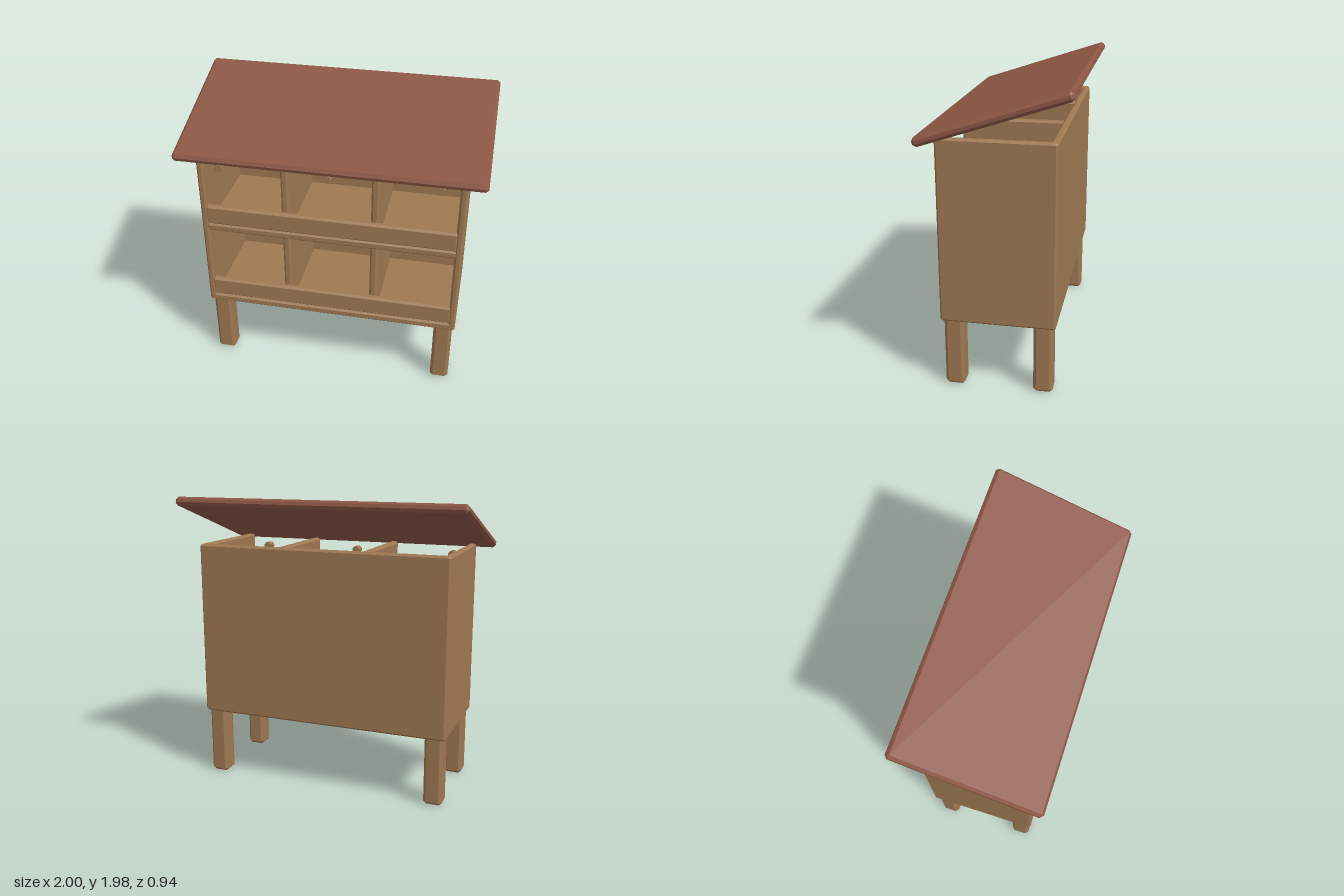
import * as THREE from 'three';
import { ConvexGeometry } from 'three/addons/geometries/ConvexGeometry.js';

const SIGNS = [-1, 1];

// Box with flat chamfers along every edge
function chamferBox(w, h, d, b) {
  const points = [];
  const x = w / 2, y = h / 2, z = d / 2;
  for (const i of SIGNS) for (const j of SIGNS) for (const k of SIGNS) {
    points.push(
      new THREE.Vector3(i * x, j * (y - b), k * (z - b)),
      new THREE.Vector3(i * (x - b), j * y, k * (z - b)),
      new THREE.Vector3(i * (x - b), j * (y - b), k * z));
  }
  return new ConvexGeometry(points);
}

export function createModel() {
  const wood = new THREE.MeshStandardMaterial({ color: 0x9e7852 });
  wood.name = 'wood';
  const roofRed = new THREE.MeshStandardMaterial({ color: 0x8c5645 });
  roofRed.name = 'roofRed';

  const model = new THREE.Group();
  model.name = 'nestBoxes';

  // Adds a chamfered board given its limits on each axis
  function board(name, [x0, x1], [y0, y1], [z0, z1], bevel = 0.013) {
    const mesh = new THREE.Mesh(chamferBox(x1 - x0, y1 - y0, z1 - z0, bevel), wood);
    mesh.position.set((x0 + x1) / 2, (y0 + y1) / 2, (z0 + z1) / 2);
    mesh.name = name;
    model.add(mesh);
  }

  // Outer case, open at the top and front
  board('floor', [-0.88, 0.88], [0.463, 0.52], [-0.37, 0.37]);
  board('backPanel', [-0.88, 0.88], [0.463, 1.66], [-0.37, -0.322]);
  board('rightSide', [-0.88, -0.832], [0.463, 1.66], [-0.37, 0.37]);
  board('leftSide', [0.832, 0.88], [0.463, 1.66], [-0.37, 0.37]);

  // Middle shelf and the front lips of both rows
  board('middleShelf', [-0.845, 0.845], [1.065, 1.122], [-0.335, 0.37]);
  board('lowerLip', [-0.845, 0.845], [0.52, 0.658], [0.322, 0.37]);
  board('upperLip', [-0.845, 0.845], [1.119, 1.258], [0.322, 0.37]);

  // Dividers between the three compartments of each row
  for (const s of SIGNS) {
    const x = [s * 0.3 - 0.026, s * 0.3 + 0.026];
    board('lowerDivider', x, [0.5, 1.08], [-0.335, 0.335]);
    board('upperDivider', x, [1.1, 1.655], [-0.335, 0.335]);
  }

  // Legs
  for (const sx of SIGNS) for (const sz of SIGNS) {
    const x = sx * 0.798, z = sz * 0.288;
    board(sz > 0 ? 'frontLeg' : 'backLeg',
      [x - 0.063, x + 0.063], [0, 0.48], [z - 0.063, z + 0.063], 0.02);
  }

  // Eight-sided pegs under the front of the roof
  const pegGeometry = new THREE.CylinderGeometry(0.027, 0.027, 0.065, 8).toNonIndexed();
  pegGeometry.rotateY(Math.PI / 8).rotateX(Math.PI / 2);
  pegGeometry.computeVertexNormals();
  for (const x of [-0.715, 0, 0.715]) {
    const peg = new THREE.Mesh(pegGeometry, wood);
    peg.position.set(x, 1.576, 0.37);
    peg.name = 'peg';
    model.add(peg);
  }

  // Sloping roof, low at the front
  const roof = new THREE.Mesh(chamferBox(2, 0.06, 0.985, 0.019), roofRed);
  roof.position.set(0, 1.805, 0);
  roof.rotation.x = THREE.MathUtils.degToRad(18.3);
  roof.name = 'roof';
  model.add(roof);

  return model;
}
